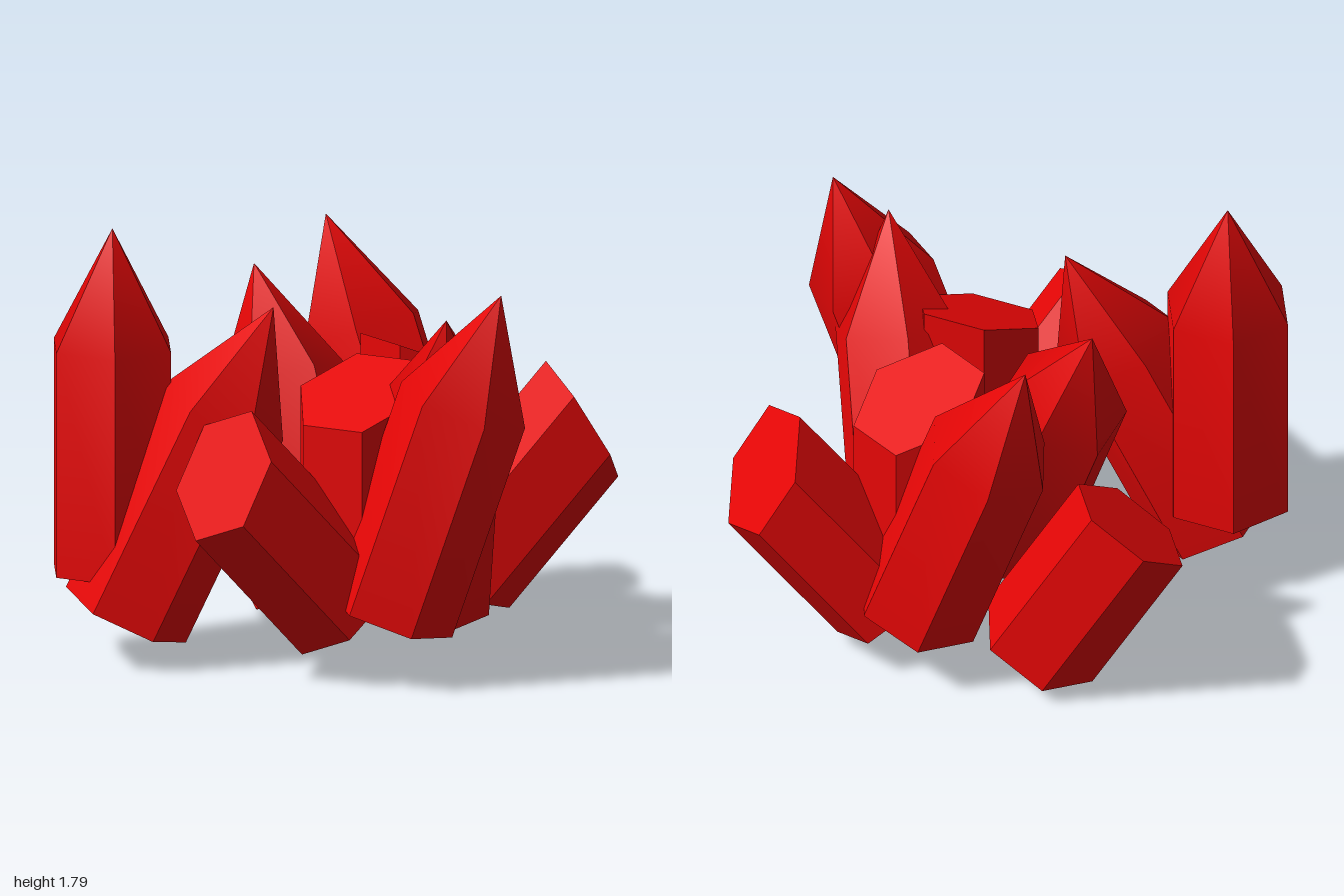
import * as THREE from 'three';
import { mergeGeometries } from 'three/addons/utils/BufferGeometryUtils.js';

const RADIUS = 0.27;
const POINTED_HEIGHT = 1.43;
const CUT_HEIGHT = 0.81;
const V = (p) => new THREE.Vector3(...p);

// Six-sided crystal, open below, standing on the origin with corners on the x axis.
// Each profile becomes six separate strips: sharp between sides, soft along them.
function crystalGeometry(profiles, slope = 0) {
  const strips = [];
  for (const profile of profiles) {
    const points = profile.map(([r, y]) => new THREE.Vector2(r, y));
    for (let i = 0; i < 6; i++) {
      strips.push(new THREE.LatheGeometry(points, 1, Math.PI / 2 + (i * Math.PI) / 3, Math.PI / 3));
    }
  }
  const geometry = mergeGeometries(strips);
  // Slanted cut across the top: rises towards +z.
  const pos = geometry.attributes.position;
  for (let i = 0; i < pos.count; i++) {
    if (pos.getY(i) > 0.5) pos.setY(i, pos.getY(i) + slope * pos.getZ(i));
  }
  geometry.computeVertexNormals();
  return geometry;
}

// Pointed crystals: position of the tip, axis, direction of one corner.
const POINTED = [
  ['frontRightUprightCrystal', [-0.73, 1.79, 0.53], [0, 1, 0], [1, 0, 0]],
  ['backTallCrystal', [-0.377, 1.636, -0.665], [-0.35, 0.936, -0.035], [-1, -0.35, -0.08]],
  ['frontRightLeaningCrystal', [-0.088, 1.492, 0.34], [0.383, 0.907, -0.175], [0.215, -0.11, -0.1]],
  ['middleLeaningCrystal', [-0.452, 1.524, -0.18], [-0.365, 0.92, -0.195], [-0.216, -0.105, -0.124]],
  ['frontLeftCrystal', [0.917, 1.636, 0.257], [0.305, 0.949, -0.1], [0.18, -0.05, 0.175]],
  ['middleLeftCrystal', [0.687, 1.515, 0.3], [0.24, 0.914, 0.343], [0.22, -0.05, -0.03]],
];

// Cut crystals: middle of the cut, axis, direction in which the cut rises.
const CUT = [
  ['backRightCutCrystal', [-0.74, 0.84, -0.43], [-0.5, 0.866, 0], [0, 0, -1]],
  ['frontCutCrystal', [-0.058, 0.893, 0.832], [-0.408, 0.74, 0.535], [-0.013, 0.131, -0.19]],
  ['backLeftCutCrystal', [0.75, 0.882, -0.766], [0.56, 0.78, -0.28], [-0.02, 0.41, 0.3]],
  ['backUprightCutCrystal', [0.22, 1.165, -0.41], [0, 1, 0], [-0.2, 0, 0.42]],
  ['frontUprightCutCrystal', [0.265, 1.155, 0.26], [0, 1, 0], [0, 0, -1]],
];

export function createModel() {
  const group = new THREE.Group();
  group.name = 'crystalCluster';
  const red = new THREE.MeshStandardMaterial({ color: 0xe60606, side: THREE.DoubleSide });
  red.name = 'crystalRed';

  const pointed = crystalGeometry([[[RADIUS, 0], [RADIUS, 0.94], [0, POINTED_HEIGHT]]]);
  const cut = crystalGeometry(
    [[[RADIUS, 0], [RADIUS, CUT_HEIGHT]], [[RADIUS, CUT_HEIGHT], [0, CUT_HEIGHT]]], 0.43);

  // Place a crystal so that its top reaches the given point.
  function place(name, geometry, height, top, y, facing) {
    const x = new THREE.Vector3().crossVectors(y, facing).normalize();
    const z = new THREE.Vector3().crossVectors(x, y);
    const mesh = new THREE.Mesh(geometry, red);
    mesh.name = name;
    mesh.quaternion.setFromRotationMatrix(new THREE.Matrix4().makeBasis(x, y, z));
    mesh.position.copy(V(top)).addScaledVector(y, -height);
    group.add(mesh);
  }

  for (const [name, top, axis, corner] of POINTED) {
    const y = V(axis).normalize();
    place(name, pointed, POINTED_HEIGHT, top, y, V(corner).cross(y));
  }
  for (const [name, top, axis, rise] of CUT) {
    place(name, cut, CUT_HEIGHT, top, V(axis).normalize(), V(rise));
  }
  return group;
}
